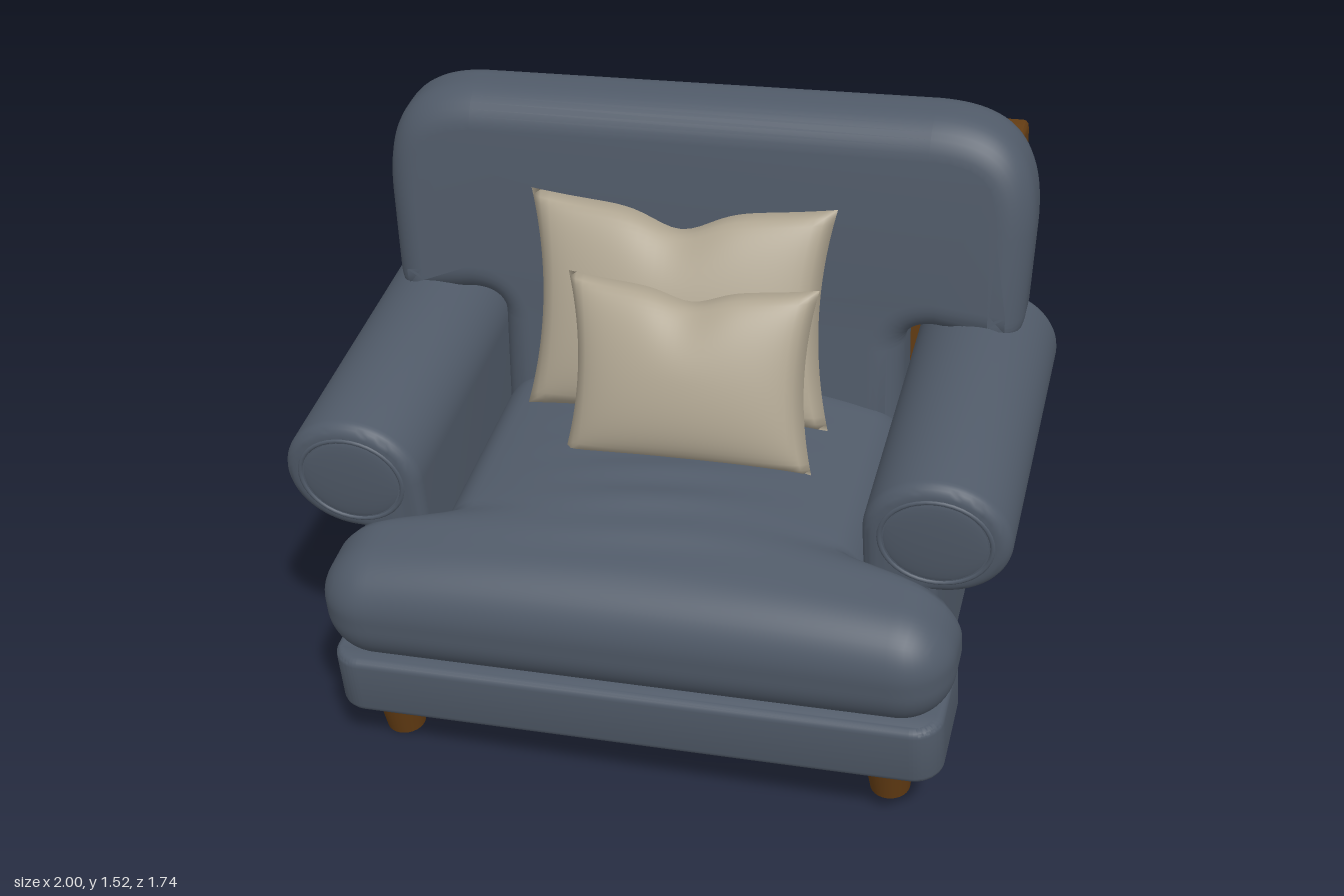
import * as THREE from 'three';
import { mergeVertices, mergeGeometries, toCreasedNormals } from 'three/addons/utils/BufferGeometryUtils.js';

const fabric = new THREE.MeshStandardMaterial({ color: 0x505a68 });
const wood = new THREE.MeshStandardMaterial({ color: 0x633c13 });
const linen = new THREE.MeshStandardMaterial({ color: 0xb0a692 });

// Moves every vertex of a geometry by a rule
function reshape(geo, rule) {
  const p = geo.attributes.position, v = new THREE.Vector3();
  for (let i = 0; i < p.count; i++) {
    v.fromBufferAttribute(p, i);
    rule(v);
    p.setXYZ(i, v.x, v.y, v.z);
  }
  return geo;
}

function smooth(geo) {
  geo.deleteAttribute('normal');
  geo.deleteAttribute('uv');
  const merged = mergeVertices(geo, 1e-5);
  merged.computeVertexNormals();
  return merged;
}

// Finely divided box with rounded edges, between two corners
function softBox(min, max, r, segs = [20, 16, 20], rule = () => {}) {
  const size = max.map((m, i) => m - min[i]);
  const half = new THREE.Vector3(...size).multiplyScalar(0.5);
  const inner = half.clone().subScalar(r), neg = inner.clone().negate();
  const mid = new THREE.Vector3(...min).add(half), c = new THREE.Vector3();
  return smooth(reshape(new THREE.BoxGeometry(...size, ...segs), v => {
    c.copy(v).clamp(neg, inner);
    v.sub(c).setLength(r).add(c).add(mid);
    rule(v);
  }));
}

// Bevelled extrusion centred on its depth; total depth includes the bevel
function extrude(shape, depth, bevel, bevelSegments = 3) {
  return new THREE.ExtrudeGeometry(shape, {
    depth: depth - 2 * bevel, bevelEnabled: true, bevelThickness: bevel, bevelSize: bevel,
    bevelOffset: -bevel, bevelSegments, curveSegments: 24,
  }).translate(0, 0, -depth / 2 + bevel);
}

// Throw pillow: two bulged sheets with pointed corners and a dented top edge
function pillowGeometry(hw, hh, thick, dent) {
  const sides = [1, -1].map(s => {
    const sheet = new THREE.PlaneGeometry(2, 2, 32, 32);
    if (s < 0) sheet.rotateY(Math.PI);
    return reshape(sheet, v => {
      const { x: u, y: w } = v;
      const bulge = Math.sqrt(Math.max(0, (1 - u * u) * (1 - w * w)));
      const crease = Math.exp(-((u / 0.25) ** 2)) * Math.max(0, w) ** 2;
      v.set(hw * u * (1 - 0.09 * (1 - w * w)),
        hh * w * (1 - (w > 0 ? 0.1 : 0.05) * (1 - u * u)) - dent * crease,
        s * thick * bulge ** 0.85 * (1 - 0.12 * w) * (1 - 0.25 * crease));
    });
  });
  return smooth(mergeGeometries(sides));
}

export function createModel() {
  const model = new THREE.Group();
  model.name = 'armchair';
  const chair = new THREE.Group();
  chair.name = 'tiltedChair';
  chair.rotation.set(0.125, 0.349, 0.04, 'YXZ');
  model.add(chair);
  const body = new THREE.Group();
  body.name = 'upholsteredBody';
  body.position.x = 0.022;
  chair.add(body);

  const add = (name, geo, mat, parent = body) => {
    const mesh = new THREE.Mesh(geo, mat);
    mesh.name = name;
    parent.add(mesh);
    return mesh;
  };

  // Base and front rail
  add('base', softBox([-0.57, 0.225, -0.51], [0.57, 0.42, 0.4], 0.02), fabric);
  const rail = new THREE.Shape();
  rail.moveTo(-0.765, 0.33).lineTo(0.785, 0.33).lineTo(0.785, 0.53);
  rail.absarc(0.71, 0.53, 0.075, 0, Math.PI / 2, false);
  rail.absarc(-0.69, 0.53, 0.075, Math.PI / 2, Math.PI, false);
  rail.closePath();
  add('frontRail', toCreasedNormals(extrude(rail, 0.17, 0.02, 4).rotateX(Math.PI / 2), 0.7), fabric)
    .position.y = 0.308;

  // T-shaped seat cushion with a crowned top that falls towards the front and the wings
  add('seatCushion', softBox([-0.795, 0.372, -0.36], [0.795, 0.68, 0.615], 0.135, [64, 24, 56], v => {
    const u = v.x / 0.795;
    const top = THREE.MathUtils.smoothstep(v.y, 0.48, 0.68);
    const back = THREE.MathUtils.smoothstep(0.61 - v.z, 0, 0.38);
    v.y += top * (1 - u * u) * (0.01 + 0.055 * back) - top * 0.02 * u ** 4;
    v.y += top * 0.004 * Math.sin(v.z * 55 + 4 * v.x) * Math.exp(-((v.x / 0.3) ** 2)) * back;
    v.x *= THREE.MathUtils.lerp(0.7, 1, THREE.MathUtils.smoothstep(v.z, 0.3, 0.4));
  }), fabric).position.x = 0.012;

  // Rolled arms with piping on the front scroll
  for (const s of [1, -1]) {
    const arm = new THREE.Group();
    arm.name = s > 0 ? 'leftArm' : 'rightArm';
    arm.position.x = s * 0.735;
    body.add(arm);
    const profile = new THREE.Shape();
    profile.moveTo(-0.18, 0.23);
    profile.lineTo(0, 0.23);
    profile.lineTo(0, 0.61);
    profile.absellipse(0, 0.772, 0.18, 0.162, -Math.PI / 2, Math.PI, false);
    profile.closePath();
    const geo = extrude(profile, 0.865, 0.035, 6);
    if (s < 0) geo.rotateY(Math.PI);
    add('armRoll', toCreasedNormals(geo, 0.7), fabric, arm).position.z = -0.083;
    add('armPiping', new THREE.TorusGeometry(0.135, 0.007, 8, 40).scale(1, 0.9, 1), fabric, arm)
      .position.set(0, 0.772, 0.347);
    add('armFace', new THREE.SphereGeometry(0.13, 32, 12).scale(1, 0.9, 0.08), fabric, arm)
      .position.set(0, 0.772, 0.347);
  }

  // Backrest: wings rest on the arms, the whole leans backwards and thins towards the top
  const back = new THREE.Shape();
  back.moveTo(-0.54, 0.45);
  back.lineTo(0.54, 0.45);
  back.lineTo(0.54, 0.84);
  back.quadraticCurveTo(0.54, 0.9, 0.62, 0.9);
  back.lineTo(0.8, 0.88);
  back.quadraticCurveTo(0.84, 0.88, 0.845, 0.94);
  back.lineTo(0.86, 1.16);
  back.bezierCurveTo(0.865, 1.36, 0.78, 1.435, 0.6, 1.44);
  back.lineTo(-0.6, 1.44);
  back.bezierCurveTo(-0.77, 1.435, -0.85, 1.36, -0.845, 1.16);
  back.lineTo(-0.835, 0.94);
  back.quadraticCurveTo(-0.83, 0.88, -0.79, 0.88);
  back.lineTo(-0.62, 0.9);
  back.quadraticCurveTo(-0.54, 0.9, -0.54, 0.84);
  back.closePath();
  const backGeo = reshape(extrude(back, 0.235, 0.085, 8), v => {
    v.z += -0.435 - (v.z > 0 ? 0.23 : 0.18) * (v.y - 1);
  });
  add('backrest', toCreasedNormals(backGeo, 0.7), fabric);

  // Bent wooden panel behind the chair
  const side = new THREE.Shape([
    [-0.68, 0.25], [-0.52, 0.245], [-0.525, 0.93], [-0.605, 1.25], [-0.625, 1.29],
    [-0.66, 1.305], [-0.745, 1.29], [-0.758, 1.27], [-0.695, 0.97], [-0.66, 0.87],
  ].map(p => new THREE.Vector2(...p)));
  const panelGeo = extrude(side, 1.55, 0.015, 3).rotateY(-Math.PI / 2);
  add('backPanel', toCreasedNormals(panelGeo, 0.6), wood).position.x = 0.025;

  // Tapered legs
  for (const x of [-0.64, 0.64]) for (const z of [0.482, -0.39]) {
    const leg = new THREE.CylinderGeometry(0.072, 0.05, 0.17, 28).translate(0, 0.173, 0);
    add(z > 0 ? 'frontLeg' : 'backLeg', leg, wood).position.set(x, 0, z);
  }

  // Throw pillows leaning on the backrest
  const large = add('largePillow', pillowGeometry(0.4, 0.285, 0.115, 0.05), linen, chair);
  large.position.set(0.005, 0.98, -0.215);
  large.rotation.x = -0.39;
  const small = add('smallPillow', pillowGeometry(0.32, 0.235, 0.11, 0.03), linen, chair);
  small.position.set(0.08, 0.93, -0.015);
  small.rotation.x = -0.39;

  return model;
}
